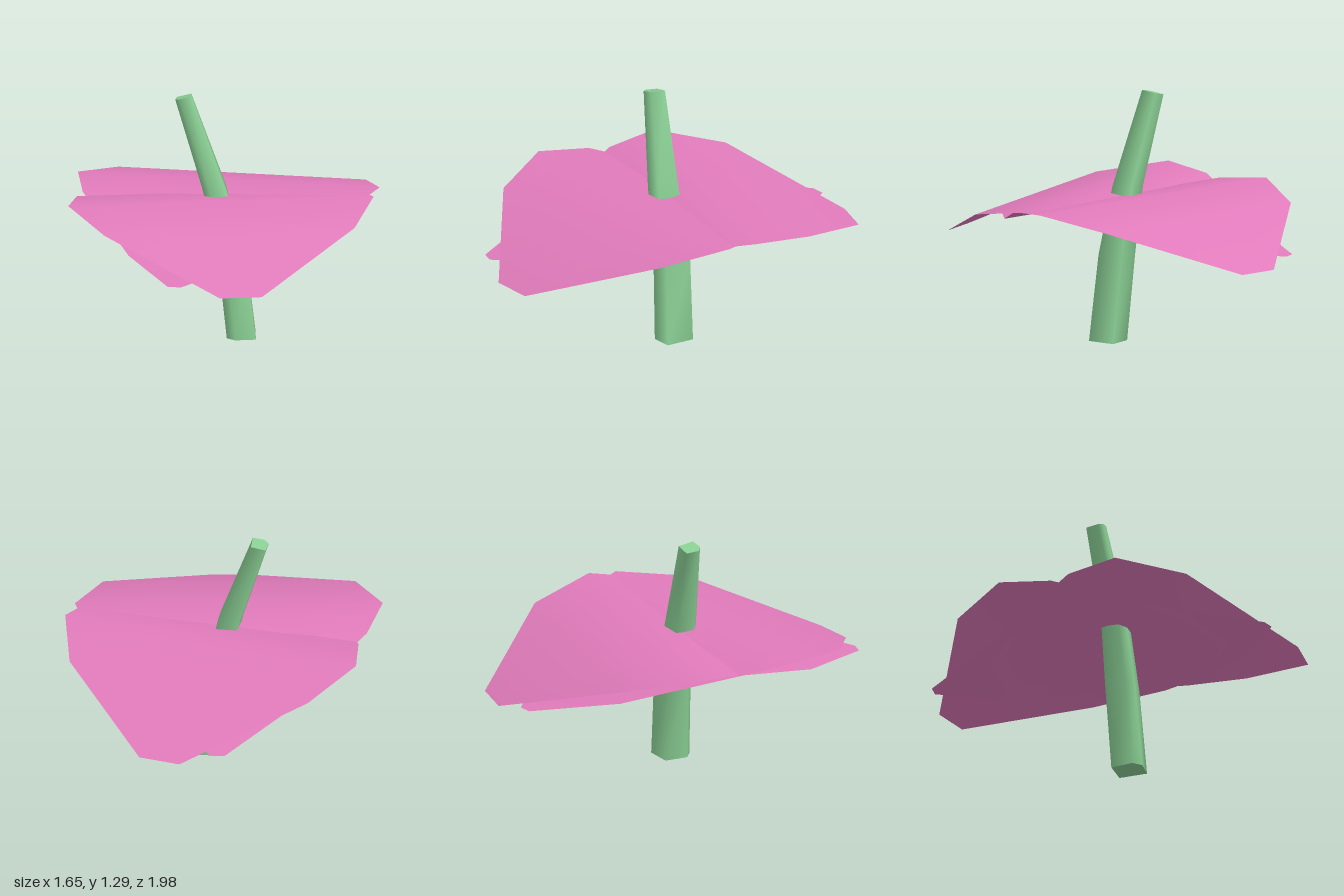
import * as THREE from 'three';

const pink = new THREE.MeshStandardMaterial({ color: 0xe17bbb, side: THREE.DoubleSide });
pink.name = 'petal pink';
const green = new THREE.MeshStandardMaterial({ color: 0x8acf94 });
green.name = 'stem green';

function build(points, index) {
  const g = new THREE.BufferGeometry();
  g.setAttribute('position', new THREE.Float32BufferAttribute(points, 3));
  g.setIndex(index);
  g.computeVertexNormals();
  return g;
}

// Petal sheet: cross rows of [z, height, half width, sideways shift]
function petalGeometry() {
  const rows = [
    [-0.98, 0.53, 0.035, 0.05],
    [-0.62, 0.58, 0.33, 0.035],
    [-0.07, 0.75, 0.72, 0.0],
    [0.2, 0.777, 0.8, 0],
    [0.547, 0.712, 0.655, 0],
    [1.01, 0.49, 0.11, 0],
  ];
  const points = [], index = [], n = 5;
  rows.forEach(([z, y, half, shift], r) => {
    for (let i = 0; i < n; i++) {
      const x = shift + half * (2 * i / (n - 1) - 1);
      points.push(x, y - 0.005 * x, z);
      if (r && i) {
        const d = r * n + i, c = d - 1, b = d - n, a = b - 1;
        index.push(a, c, b, b, c, d);
      }
    }
  });
  return build(points, index);
}

// Stem: bent, tapering five-sided rings of [x, y, z, radius], with caps
function stemGeometry() {
  const rings = [
    [0.12, 0, -0.005, 0.1],
    [0.065, 0.45, 0, 0.096],
    [-0.02, 0.8, 0.035, 0.08],
    [-0.185, 1.275, 0.063, 0.056],
  ];
  const angles = [25, 90, 125, 200, 285].map(THREE.MathUtils.degToRad);
  const n = angles.length, last = rings.length - 1;
  const points = [], index = [];
  const addRing = ([x, y, z, radius], r) => angles.forEach((a) => {
    const dx = Math.cos(a) * radius;
    points.push(x + dx, y + (r === last ? dx * 0.25 : 0), z + Math.sin(a) * radius);
  });
  rings.forEach((ring, r) => {
    addRing(ring, r);
    for (let i = 0; r && i < n; i++) {
      const j = (i + 1) % n, low = (r - 1) * n, high = r * n;
      index.push(low + i, high + i, low + j, low + j, high + i, high + j);
    }
  });
  // Caps have their own corners so their edges stay sharp
  const bottom = points.length / 3;
  addRing(rings[0], 0);
  const top = bottom + n;
  addRing(rings[last], last);
  for (let i = 1; i < n - 1; i++) {
    index.push(bottom, bottom + i, bottom + i + 1);
    index.push(top, top + i + 1, top + i);
  }
  return build(points, index);
}

export function createModel() {
  const model = new THREE.Group();
  model.name = 'flower';

  const stem = new THREE.Mesh(stemGeometry(), green);
  stem.name = 'stem';
  model.add(stem);

  // Two overlapping sheets facing opposite ways
  const petal = petalGeometry();
  [
    ['frontPetal', 0.556, -0.02, 0.03],
    ['backPetal', Math.PI + 0.227, 0, 0.01],
  ].forEach(([name, turn, x, z]) => {
    const mesh = new THREE.Mesh(petal, pink);
    mesh.name = name;
    mesh.rotation.y = turn;
    mesh.position.set(x, 0, z);
    model.add(mesh);
  });
  return model;
}
